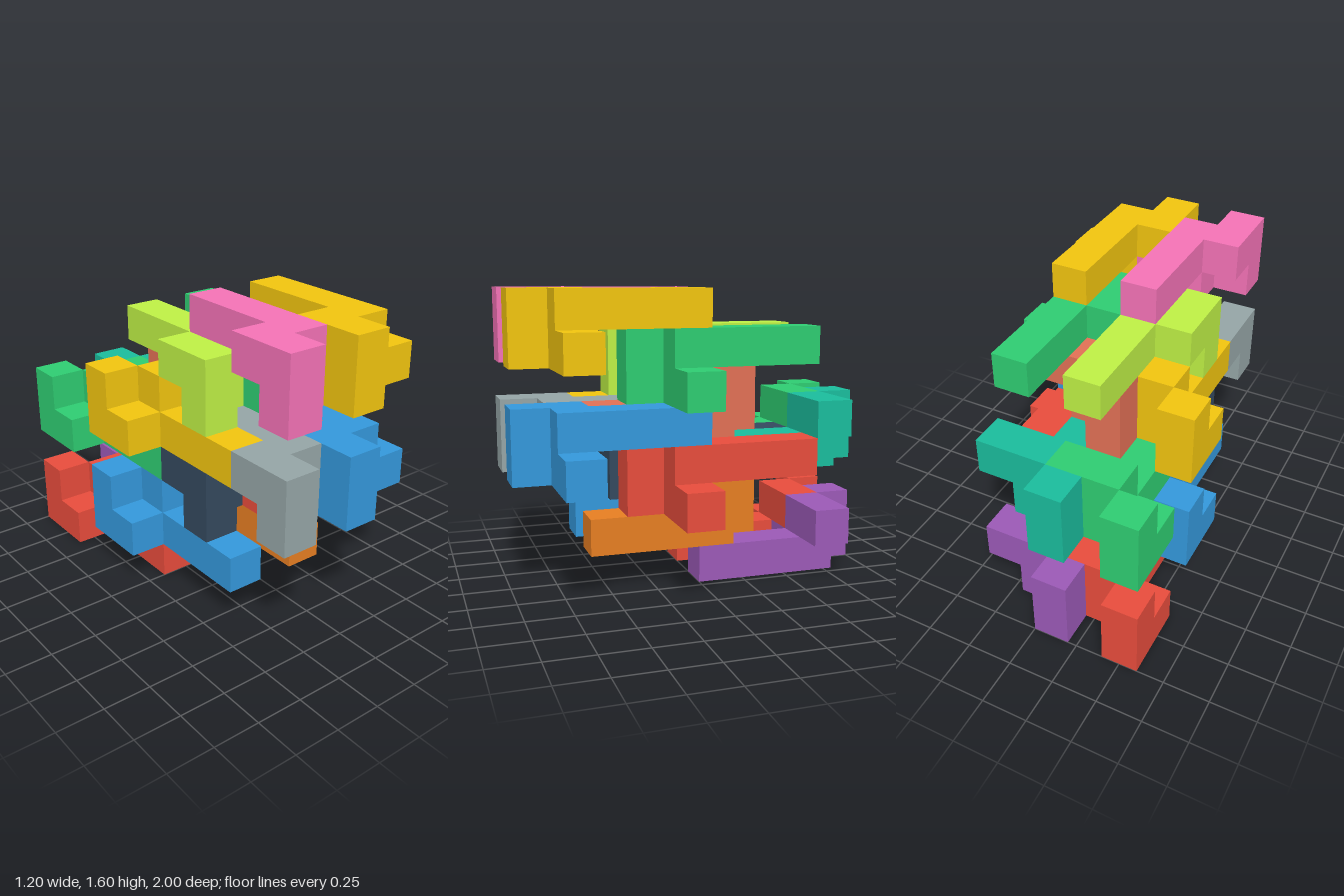
import * as THREE from 'three';
import { mergeGeometries } from 'three/addons/utils/BufferGeometryUtils.js';

const U = 0.2; // edge of one unit cube

// Unit cubes of one notched bar: [x, y, z]
const CELLS = [
  [1, 0, 0], [1, 0, 1], [1, 0, 2], [1, 0, 3], // long bar
  [0, 0, 3], [0, 0, 4],                       // side step
  [0, -1, 4],                                 // hook at the end
  [1, -1, 3], [2, -1, 3],                     // cross arm
];

// Outer skin of the bar: one square for every cube side without a neighbour
function barGeometry() {
  const taken = new Set(CELLS.map(String));
  const squares = [];
  const front = new THREE.Vector3(0, 0, 1);
  for (const cell of CELLS) {
    for (let axis = 0; axis < 3; axis++) {
      for (const sign of [-1, 1]) {
        const next = [...cell];
        next[axis] += sign;
        if (taken.has(String(next))) continue;
        const normal = new THREE.Vector3().setComponent(axis, sign);
        const turn = axis === 2 && sign < 0
          ? new THREE.Quaternion(0, 1, 0, 0)
          : new THREE.Quaternion().setFromUnitVectors(front, normal);
        const square = new THREE.PlaneGeometry(U, U).applyQuaternion(turn);
        const at = new THREE.Vector3(...cell).addScaledVector(normal, 0.5).multiplyScalar(U);
        squares.push(square.translate(at.x, at.y, at.z));
      }
    }
  }
  return mergeGeometries(squares);
}

// Name, colour, grid place of the first cube, turned upside down or not
const BARS = [
  ['goldTopBar', 0xf1c40f, [3, 7, 5], false],
  ['pinkTopBar', 0xf472b6, [1, 7, 5], false],
  ['greenUpperBar', 0x2ecc71, [3, 6, 2], false],
  ['limeUpperBar', 0xbef045, [1, 6, 2], false],
  ['goldMiddleBar', 0xf1c40f, [0, 4, 7], true],
  ['salmonMiddleBar', 0xe17055, [2, 4, 7], true],
  ['blueMiddleBar', 0x3498db, [3, 4, 5], false],
  ['greyMiddleBar', 0x95a5a6, [1, 4, 5], false],
  ['tealBackBar', 0x1abc9c, [2, 3, 4], true],
  ['greenBackBar', 0x2ecc71, [0, 3, 4], true],
  ['redMiddleBar', 0xe74c3c, [3, 3, 2], false],
  ['darkMiddleBar', 0x34495e, [1, 3, 2], false],
  ['blueLowerBar', 0x3498db, [0, 1, 7], true],
  ['orangeLowerBar', 0xe67e22, [2, 1, 7], true],
  ['purpleBottomBar', 0x9b59b6, [2, 0, 4], true],
  ['redBottomBar', 0xe74c3c, [0, 0, 4], true],
];

export function createModel() {
  const model = new THREE.Group();
  model.name = 'burrPuzzle';
  const geometry = barGeometry();
  for (const [name, color, [i, j, k], flipped] of BARS) {
    const bar = new THREE.Mesh(geometry, new THREE.MeshStandardMaterial({ color }));
    bar.name = name;
    bar.position.set((i - 2.5) * U, (j + 0.5) * U, (k - 4.5) * U);
    if (flipped) bar.rotation.x = Math.PI;
    model.add(bar);
  }
  return model;
}
